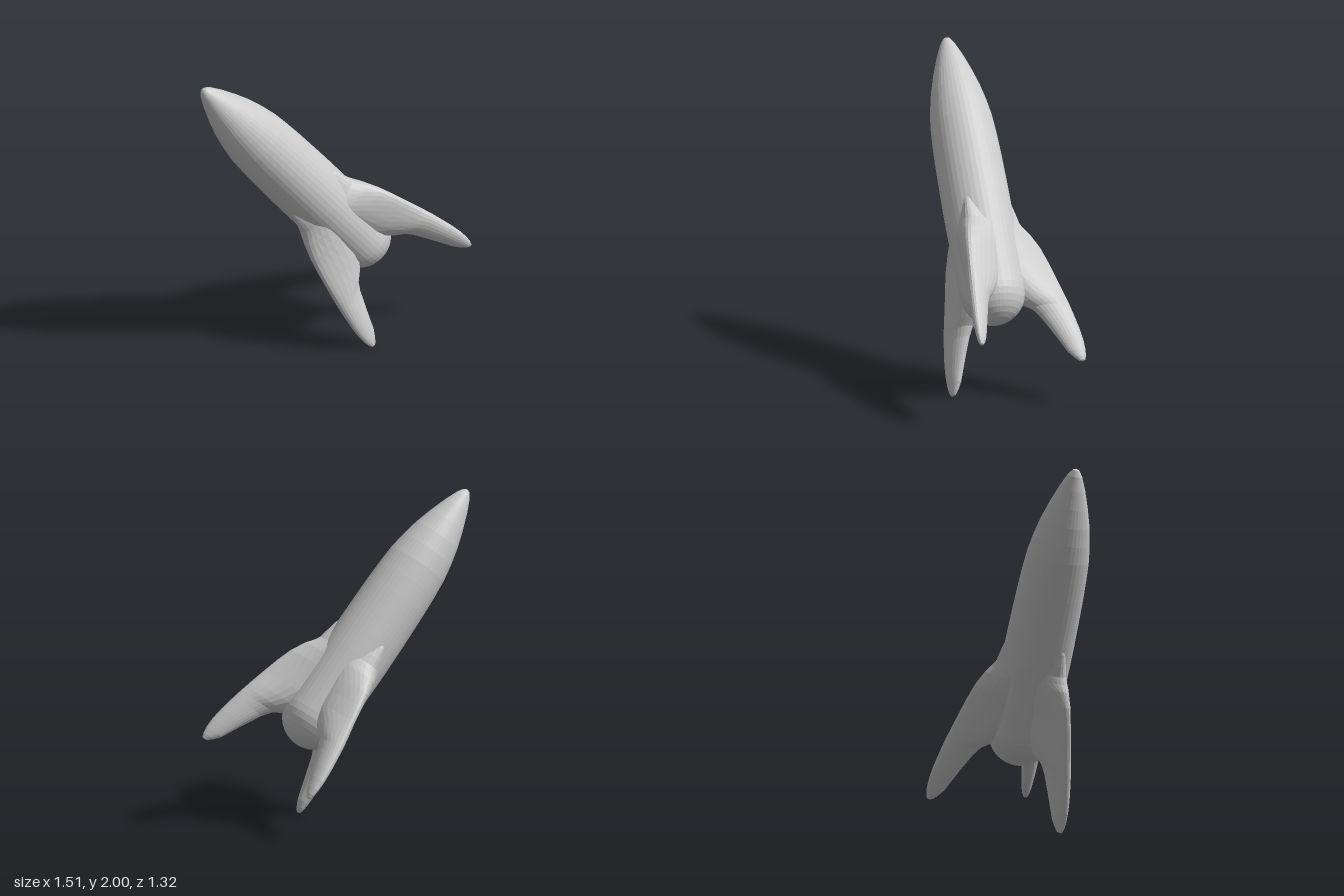
import * as THREE from 'three';

const material = new THREE.MeshStandardMaterial({ color: 0xcccccc, flatShading: true });

// Hull: turned profile [radius, height], from the tail dome to the nose tip
function hullGeometry() {
  const dome = [];
  for (let i = 0; i <= 8; i++) {
    const a = (i / 8) * Math.PI / 2;
    dome.push(new THREE.Vector2(0.205 * Math.sin(a), 0.5 - 0.21 * Math.cos(a)));
  }
  const side = [[0.208, 0.65], [0.211, 0.8], [0.214, 0.95], [0.214, 1.1], [0.212, 1.25], [0.209, 1.4],
    [0.204, 1.52], [0.196, 1.64], [0.179, 1.75], [0.155, 1.86], [0.122, 1.97], [0.083, 2.08],
    [0.046, 2.165], [0.022, 2.2], [0, 2.21]].map(p => new THREE.Vector2(...p));
  return new THREE.LatheGeometry([...dome, ...side], 40);
}

// Fin: level slices [height, inner radius, outer radius, half thickness], top to bottom
const slices = [
  [1.14, 0.10, 0.19, 0.03], [1.06, 0, 0.222, 0.09], [0.99, 0, 0.238, 0.12], [0.93, 0, 0.25, 0.135],
  [0.89, 0, 0.275, 0.135], [0.85, 0, 0.307, 0.13], [0.76, 0, 0.356, 0.12], [0.66, 0, 0.392, 0.11],
  [0.56, 0.03, 0.422, 0.1], [0.47, 0.10, 0.448, 0.085], [0.41, 0.17, 0.464, 0.072],
  [0.37, 0.235, 0.475, 0.06], [0.315, 0.277, 0.488, 0.053], [0.21, 0.336, 0.511, 0.045],
  [0.13, 0.378, 0.523, 0.037], [0.065, 0.411, 0.525, 0.029], [0.025, 0.445, 0.52, 0.021],
  [0, 0.472, 0.511, 0.012], [-0.006, 0.49, 0.49, 0],
];

function finGeometry(sides = 24) {
  const position = [], index = [];
  slices.forEach(([y, inner, outer, thick], row) => {
    // slices that reach into the hull taper outward, lower ones become plain ellipses
    const taper = 0.45 * THREE.MathUtils.smoothstep(y, 0.3, 0.6);
    for (let i = 0; i < sides; i++) {
      const a = (i / sides) * Math.PI * 2, c = Math.cos(a);
      position.push((inner + outer) / 2 + c * (outer - inner) / 2, y, thick * Math.sin(a) * (1 - taper * c));
      if (row === slices.length - 1) continue;
      const p = row * sides + i, q = row * sides + (i + 1) % sides;
      index.push(p, q, p + sides, q, q + sides, p + sides);
    }
  });
  const geometry = new THREE.BufferGeometry();
  geometry.setAttribute('position', new THREE.Float32BufferAttribute(position, 3));
  geometry.setIndex(index);
  geometry.computeVertexNormals();
  return geometry;
}

export function createModel() {
  const rocket = new THREE.Group();
  rocket.name = 'rocket';

  const hull = new THREE.Mesh(hullGeometry(), material);
  hull.name = 'hull';
  rocket.add(hull);

  // Three swept fins around the tail
  const fin = finGeometry();
  ['leftFin', 'frontFin', 'backFin'].forEach((name, i) => {
    const mesh = new THREE.Mesh(fin, material);
    mesh.name = name;
    mesh.rotation.y = -i * Math.PI * 2 / 3;
    rocket.add(mesh);
  });

  // Tilt the rocket so its nose points up, right and forward
  const axis = new THREE.Vector3(-0.48, 0.777, 0.409).normalize();
  const out = new THREE.Vector3(0.833, 0.55, -0.054);
  out.addScaledVector(axis, -out.dot(axis)).normalize();
  const across = new THREE.Vector3().crossVectors(out, axis);
  rocket.quaternion.setFromRotationMatrix(new THREE.Matrix4().makeBasis(out, axis, across));
  rocket.position.set(0.32, 0.283, -0.263);

  const model = new THREE.Group();
  model.add(rocket);
  return model;
}
